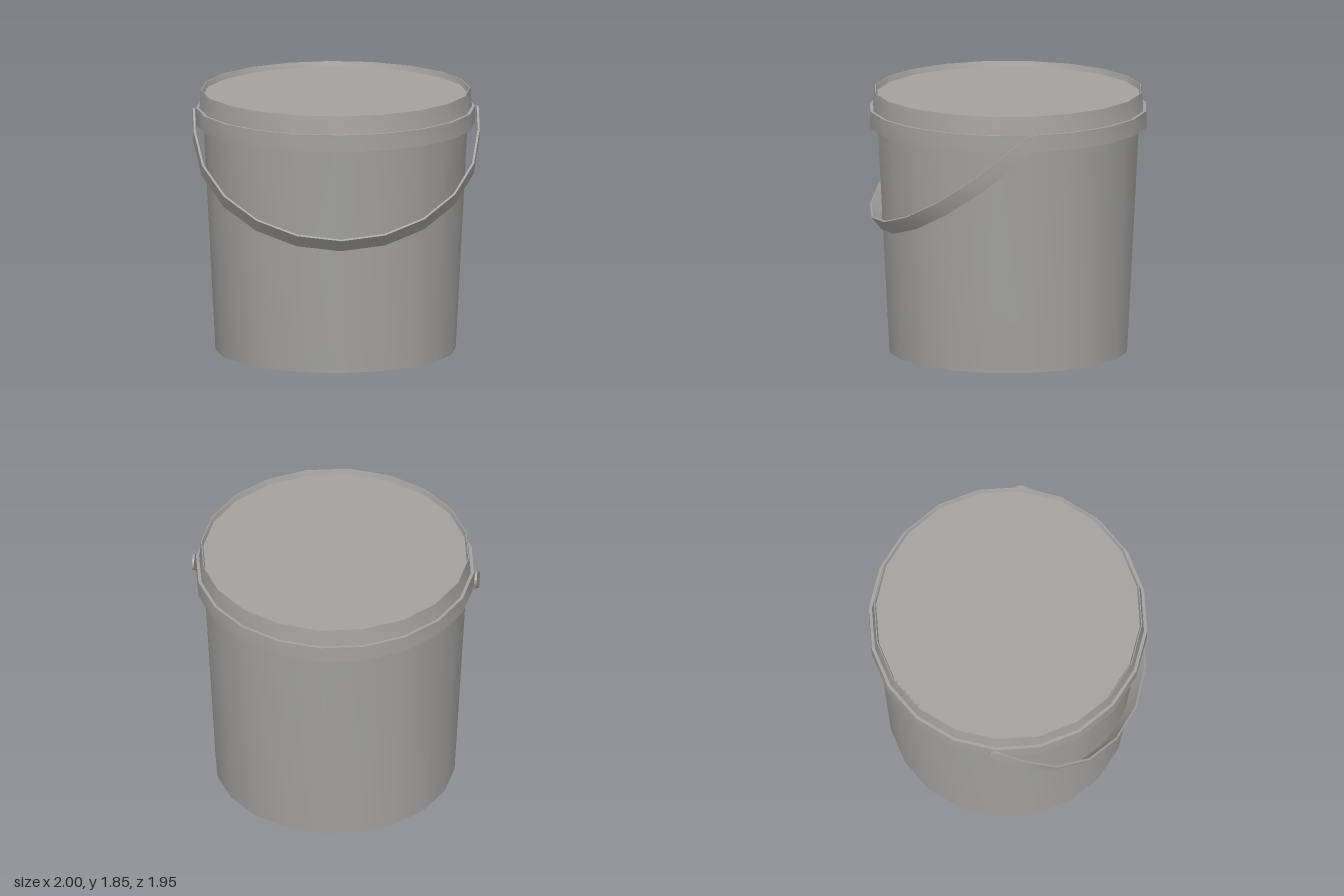
import * as THREE from 'three';
import { toCreasedNormals } from 'three/addons/utils/BufferGeometryUtils.js';

const SIDES = 20;
const CREASE = 0.5;

// Turned part: smooth around the axis, sharp along the profile corners.
function turned(name, profile, material) {
  const points = profile.map(([r, y]) => new THREE.Vector2(r, y));
  const geometry = toCreasedNormals(new THREE.LatheGeometry(points, SIDES), CREASE);
  const mesh = new THREE.Mesh(geometry, material);
  mesh.name = name;
  return mesh;
}

function createHandle(material) {
  const handle = new THREE.Group();
  handle.name = 'handle';
  const outer = 1, thick = 0.015, strap = 0.19, width = 0.11;

  // Flat U-shaped ribbon: straight straps joined by a half circle, hanging down -y
  const arc = (r) => {
    const points = [[r, 0]];
    for (let i = 0; i <= SIDES / 2; i++) {
      const a = (i / SIDES) * Math.PI * 2;
      points.push([r * Math.cos(a), -strap - r * Math.sin(a)]);
    }
    points.push([-r, 0]);
    return points;
  };
  const outline = [...arc(outer), ...arc(outer - thick).reverse()];
  const shape = new THREE.Shape(outline.map(([x, y]) => new THREE.Vector2(x, y)));
  const ribbon = new THREE.ExtrudeGeometry(shape, { depth: width, bevelEnabled: false });
  ribbon.translate(0, 0, -width / 2);
  const band = new THREE.Mesh(toCreasedNormals(ribbon, CREASE), material);
  band.name = 'handleBand';
  handle.add(band);

  // Rounded strap ends
  for (const side of [-1, 1]) {
    const end = new THREE.CylinderGeometry(width / 2, width / 2, thick, 10, 1, false, 0, Math.PI);
    end.rotateZ(Math.PI / 2);
    const tab = new THREE.Mesh(end, material);
    tab.name = side > 0 ? 'leftHandleEnd' : 'rightHandleEnd';
    tab.position.x = side * (outer - thick / 2);
    handle.add(tab);
  }

  // Swing the handle forward about its pivots
  handle.position.set(0, 1.67, 0.005);
  handle.rotation.x = -0.894;
  return handle;
}

export function createModel() {
  const plastic = new THREE.MeshStandardMaterial({ color: 0xa3a2a0 });
  plastic.name = 'grey plastic';

  const model = new THREE.Group();
  model.name = 'bucket';

  // Tapered body with closed base
  model.add(turned('body', [[0, 0], [0.84, 0], [0.926, 1.66]], plastic));
  // Collar around the top of the body
  model.add(turned('collar', [[0.92, 1.605], [0.976, 1.605], [0.976, 1.725], [0.945, 1.725]], plastic));
  // Lid with a raised lip and a recessed top
  model.add(turned('lid', [[0.955, 1.715], [0.941, 1.853], [0.935, 1.853], [0.925, 1.815], [0, 1.815]], plastic));
  model.add(createHandle(plastic));
  return model;
}
